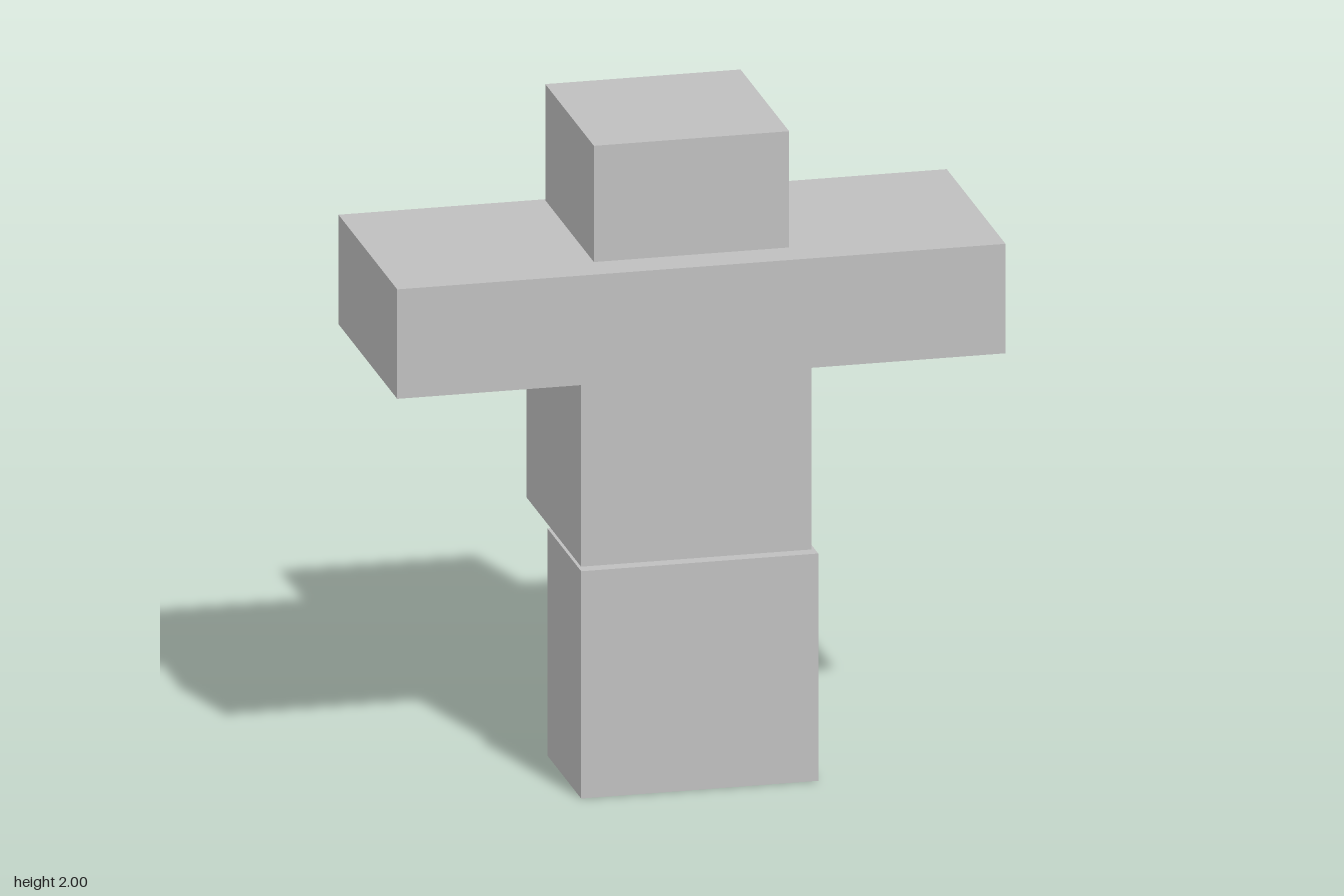
import * as THREE from 'three';

export function createModel() {
  const group = new THREE.Group();
  group.name = 'blockFigure';
  const grey = new THREE.MeshStandardMaterial({ color: 0xbfbfbf });
  grey.name = 'plain grey';

  // Adds a box spanning the given [min, max] range on each axis
  const addBlock = (name, x, y, z) => {
    const size = [x, y, z].map(([a, b]) => b - a);
    const mesh = new THREE.Mesh(new THREE.BoxGeometry(...size), grey);
    mesh.position.set(...[x, y, z].map(([a, b]) => (a + b) / 2));
    mesh.name = name;
    group.add(mesh);
  };

  // Stacked from the ground up; torso and arms are flush at the back
  addBlock('legs', [-0.365, 0.36], [0, 0.71], [-0.065, 0.36]);
  addBlock('torso', [-0.355, 0.35], [0.71, 1.295], [-0.37, 0.317]);
  addBlock('arms', [-0.93, 0.93], [1.295, 1.637], [-0.37, 0.37]);
  addBlock('head', [-0.30, 0.297], [1.637, 2], [-0.36, 0.252]);

  return group;
}
